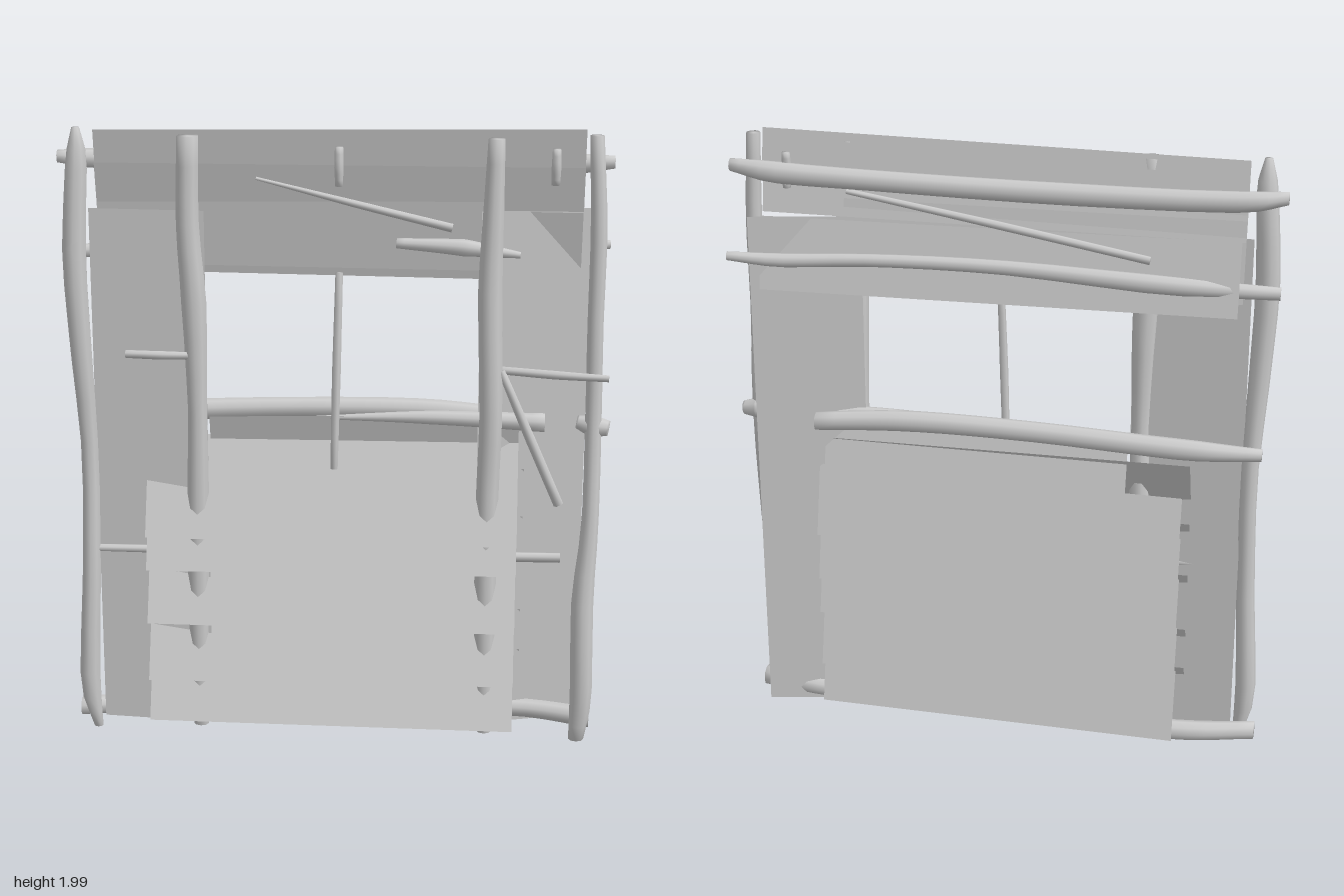
import * as THREE from 'three';

const wood = new THREE.MeshStandardMaterial({ color: 0xcccccc, side: THREE.DoubleSide });
wood.name = 'weathered grey wood';

// Rough branch: rings swept along a smooth path, with interpolated radii and closed ends
function branch(name, points, radii, sides = 9, steps = 18) {
  const curve = new THREE.CatmullRomCurve3(points.map(p => new THREE.Vector3(...p)));
  const dir = curve.getPoint(1).sub(curve.getPoint(0)).normalize();
  const ref = Math.abs(dir.y) > 0.8 ? new THREE.Vector3(1, 0, 0) : new THREE.Vector3(0, 1, 0);
  const u = new THREE.Vector3().crossVectors(ref, dir).normalize();
  const v = new THREE.Vector3().crossVectors(dir, u);
  const pos = [], idx = [];
  for (let i = 0; i <= steps; i++) {
    const t = i / steps, f = t * (radii.length - 1), k = Math.min(Math.floor(f), radii.length - 2);
    const r = THREE.MathUtils.lerp(radii[k], radii[k + 1], f - k);
    const c = curve.getPoint(t);
    for (let j = 0; j < sides; j++) {
      const a = (j / sides) * Math.PI * 2;
      const p = c.clone().addScaledVector(u, Math.cos(a) * r).addScaledVector(v, Math.sin(a) * r);
      pos.push(p.x, p.y, p.z);
      if (i < steps) {
        const n = (j + 1) % sides, A = i * sides + j, B = i * sides + n;
        idx.push(A, B, A + sides, B, B + sides, A + sides);
      }
    }
  }
  for (const [t, base] of [[0, 0], [1, steps * sides]]) {
    const c = curve.getPoint(t), m = pos.length / 3;
    pos.push(c.x, c.y, c.z);
    for (let j = 0; j < sides; j++) {
      const A = base + j, B = base + (j + 1) % sides;
      idx.push(...(t ? [m, A, B] : [m, B, A]));
    }
  }
  const g = new THREE.BufferGeometry();
  g.setAttribute('position', new THREE.Float32BufferAttribute(pos, 3));
  g.setIndex(idx);
  g.computeVertexNormals();
  const mesh = new THREE.Mesh(g, wood);
  mesh.name = name;
  return mesh;
}

// Thin sheet through four corners: top left, top right, bottom right, bottom left
function sheet(name, a, b, c, d) {
  const g = new THREE.BufferGeometry();
  g.setAttribute('position', new THREE.Float32BufferAttribute([...a, ...b, ...c, ...d], 3));
  g.setIndex([0, 3, 2, 0, 2, 1]);
  g.computeVertexNormals();
  const mesh = new THREE.Mesh(g, wood);
  mesh.name = name;
  return mesh;
}

// Horizontal plank tilted between a top and a bottom edge
const plank = (name, x0, x1, yTop, zTop, yBot, zBot, skew = 0) => sheet(name,
  [x0, yTop - skew, zTop], [x1, yTop + skew, zTop], [x1, yBot + skew, zBot], [x0, yBot - skew, zBot]);

export function createModel() {
  const model = new THREE.Group();
  model.name = 'windowWall';
  const add = (...m) => model.add(...m);

  // Side panels
  add(
    sheet('leftSidePanel', [0.45, 1.74, 0], [0.79, 1.74, -0.08], [0.79, 0.035, -0.08], [0.45, 0.03, 0]),
    sheet('rightSidePanel', [-0.76, 1.74, 0.025], [-0.4, 1.74, 0.045], [-0.4, 0.03, 0.045], [-0.76, 0.035, 0.025])
  );

  // Lapped header boards above the opening
  add(
    plank('headerBoard', -0.74, 0.76, 1.99, 0.02, 1.83, -0.005, 0.008),
    plank('middleHeaderBoard', -0.74, 0.76, 1.88, 0.015, 1.74, -0.015),
    plank('frontLintel', -0.74, 0.5, 1.8, -0.005, 1.55, -0.04, -0.004),
    plank('backLintel', -0.73, 0.76, 1.74, -0.035, 1.515, -0.082, -0.008)
  );

  // Overlapping slats on both faces, flared outward at the bottom
  add(plank('sillSlat', -0.4, 0.58, 1.08, 0, 0.84, -0.06, 0.01));
  [[0.69, 0.31], [0.585, 0.2], [0.395, 0.2], [0.205, 0.2], [0.055, 0.2]].forEach(([bot, h], i) => {
    const s = i % 2 ? 0.004 : -0.004;
    add(plank('frontSlat', -0.6, 0.58, bot + h, 0.105 - 0.42 * h, bot, 0.105, s));
  });
  [0.67, 0.52, 0.385, 0.2, 0.05].forEach((bot, i) => {
    const s = i % 2 ? -0.005 : 0.005;
    add(plank('backSlat', -0.58, 0.6, bot + 0.23, -0.033, bot, -0.09, s));
  });

  // Outer upright poles
  add(
    branch('rightOuterPole',
      [[-0.78, 0.01, 0.05], [-0.8, 0.15, 0.055], [-0.785, 0.55, 0.05], [-0.78, 0.95, 0.03], [-0.795, 1.3, 0.04], [-0.805, 1.6, 0.04], [-0.79, 1.9, 0.03], [-0.79, 1.99, 0.03]],
      [0.015, 0.034, 0.03, 0.027, 0.034, 0.038, 0.034, 0.012]),
    branch('leftOuterPole',
      [[0.79, 0.01, 0.05], [0.8, 0.15, 0.06], [0.795, 0.5, 0.055], [0.81, 0.75, 0.045], [0.81, 1.1, 0.02], [0.805, 1.4, 0.03], [0.805, 1.7, 0.03], [0.79, 1.98, 0.02]],
      [0.025, 0.036, 0.036, 0.027, 0.026, 0.025, 0.026, 0.022])
  );

  // Inner upright poles beside the opening
  add(
    branch('rightInnerPole',
      [[-0.44, 0.02, 0.03], [-0.44, 0.4, 0.035], [-0.435, 0.8, 0.04], [-0.43, 1.1, 0.05], [-0.435, 1.45, 0.045], [-0.45, 1.7, 0.045], [-0.445, 1.97, 0.045]],
      [0.025, 0.034, 0.036, 0.03, 0.04, 0.036, 0.034]),
    branch('leftInnerPole',
      [[0.49, 0.02, 0.03], [0.485, 0.4, 0.035], [0.485, 0.85, 0.04], [0.49, 1.1, 0.05], [0.48, 1.5, 0.04], [0.485, 1.75, 0.04], [0.49, 1.97, 0.04]],
      [0.025, 0.035, 0.036, 0.036, 0.038, 0.032, 0.026])
  );

  // Horizontal rails on the back
  add(
    branch('topRail',
      [[-0.86, 1.89, -0.03], [-0.75, 1.88, -0.055], [-0.2, 1.87, -0.06], [0.4, 1.875, -0.06], [0.72, 1.88, -0.05], [0.85, 1.89, -0.035]],
      [0.02, 0.032, 0.034, 0.032, 0.034, 0.02]),
    branch('lintelRail',
      [[-0.85, 1.59, -0.02], [-0.5, 1.61, -0.07], [0, 1.63, -0.07], [0.4, 1.625, -0.075], [0.7, 1.61, -0.09], [0.85, 1.62, -0.11]],
      [0.02, 0.03, 0.022, 0.02, 0.022, 0.014]),
    branch('sillRail',
      [[-0.82, 1.06, -0.02], [-0.6, 1.07, -0.05], [-0.1, 1.09, -0.055], [0.3, 1.09, -0.055], [0.6, 1.065, -0.055]],
      [0.02, 0.034, 0.033, 0.034, 0.03]),
    branch('sillSplinter', [[-0.08, 1.07, -0.01], [0.3, 1.08, 0], [0.66, 1.07, 0]], [0.004, 0.022, 0.03]),
    branch('sillStub', [[0.76, 1.075, 0], [0.81, 1.065, 0.01], [0.86, 1.06, 0.015]], [0.02, 0.036, 0.024]),
    branch('bottomRail',
      [[-0.84, 0.06, 0.01], [-0.6, 0.06, -0.04], [0, 0.065, -0.05], [0.6, 0.075, -0.04], [0.83, 0.07, 0.01]],
      [0.03, 0.034, 0.03, 0.03, 0.034]),
    branch('lintelChip', [[0.19, 1.64, 0.01], [0.4, 1.63, 0.02], [0.57, 1.61, 0.02]], [0.016, 0.027, 0.01])
  );

  // Thin twigs: start, end, start radius, end radius
  [
    [[-0.65, 1.29, 0.07], [-0.42, 1.285, 0.06], 0.013, 0.011],
    [[0.52, 1.25, 0.04], [0.85, 1.24, 0.08], 0.013, 0.011],
    [[0.52, 1.25, 0.05], [0.71, 0.81, 0.03], 0.012, 0.016],
    [[0.015, 1.55, 0.03], [0, 0.92, 0.05], 0.012, 0.012],
    [[0.015, 1.94, 0.04], [0.015, 1.82, 0.04], 0.013, 0.012],
    [[0.67, 1.94, -0.04], [0.67, 1.83, -0.04], 0.013, 0.013],
    [[0.67, 1.94, 0.04], [0.67, 1.83, 0.03], 0.013, 0.013],
    [[-0.24, 1.84, 0.03], [0.36, 1.69, 0.01], 0.005, 0.014],
    [[0.48, 1.83, -0.04], [-0.46, 1.68, -0.06], 0.009, 0.013],
    [[-0.77, 0.635, 0.045], [0.72, 0.63, 0.03], 0.012, 0.016],
  ].forEach(([a, b, r0, r1]) => {
    const mid = a.map((v, i) => (v + b[i]) / 2 + (i === 2 ? 0.006 : 0));
    add(branch('twig', [a, mid, b], [r0, (r0 + r1) / 2 + 0.002, r1], 7, 6));
  });

  return model;
}
